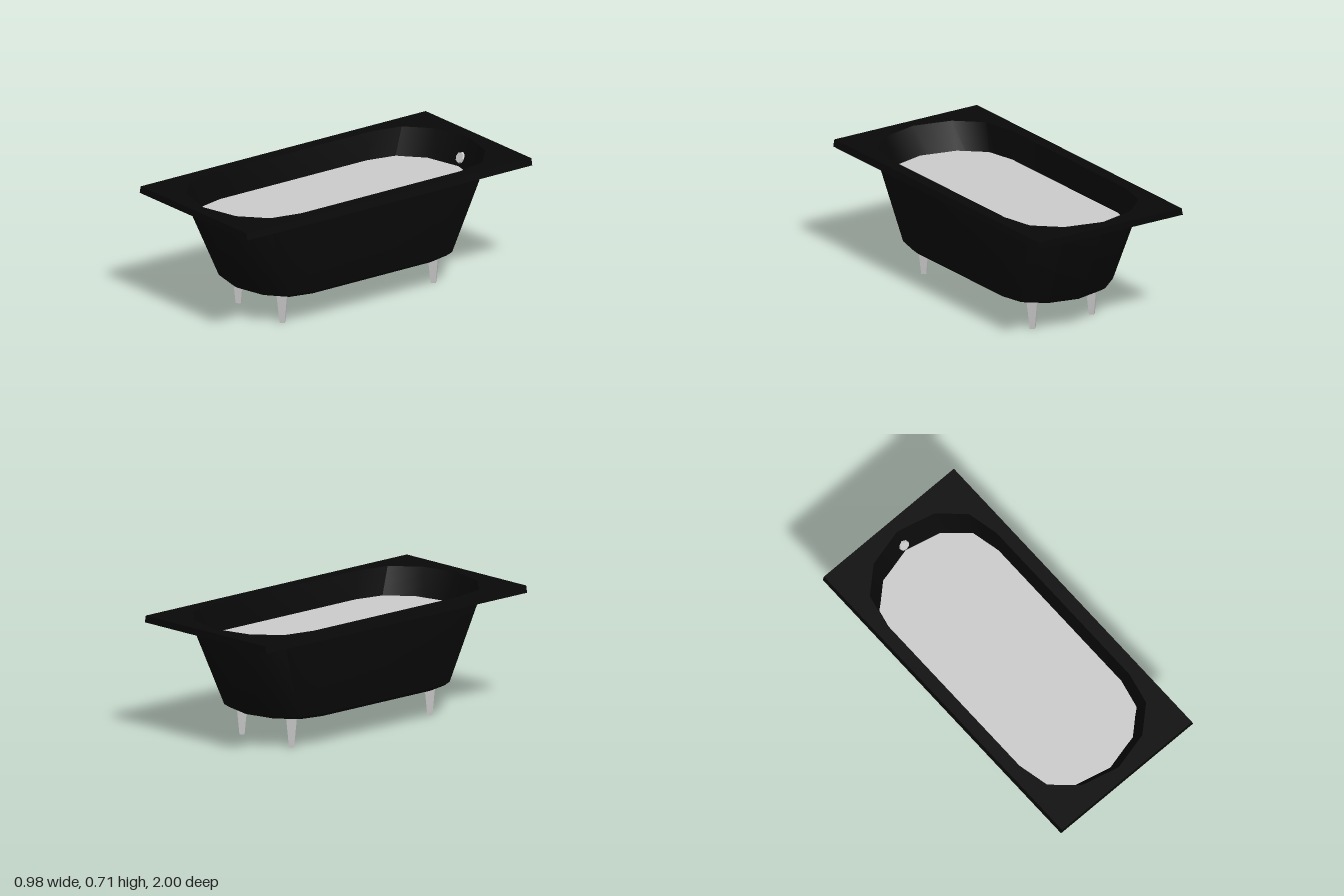
import * as THREE from 'three';
import { toCreasedNormals } from 'three/addons/utils/BufferGeometryUtils.js';

// Unit outline of the basin: straight long sides with faceted round ends
const QUARTER = [[1, 0.6], [0.9, 0.8], [0.55, 0.94], [0, 1]];
const half = [...QUARTER, ...QUARTER.slice(0, 3).reverse().map(([x, z]) => [-x, z])];
const OUTLINE = [...half, ...half.map(([x, z]) => [-x, -z])];

const outlinePoints = (hx, hz) => OUTLINE.map(([x, z]) => new THREE.Vector2(x * hx, z * hz));

// Joins scaled outlines, given as [half width, half length, height]
function loftOutlines(sections) {
  const n = OUTLINE.length;
  const positions = [];
  const index = [];
  for (const [hx, hz, y] of sections) {
    for (const [x, z] of OUTLINE) positions.push(x * hx, y, z * hz);
  }
  for (let j = 0; j < sections.length - 1; j++) {
    for (let i = 0; i < n; i++) {
      const a = j * n + i;
      const b = j * n + ((i + 1) % n);
      if (sections[j + 1][0] > 0) index.push(a, a + n, b + n);
      if (sections[j][0] > 0) index.push(a, b + n, b);
    }
  }
  const geometry = new THREE.BufferGeometry();
  geometry.setAttribute('position', new THREE.Float32BufferAttribute(positions, 3));
  geometry.setIndex(index);
  return toCreasedNormals(geometry, 0.6);
}

export function createModel() {
  const group = new THREE.Group();
  const black = new THREE.MeshStandardMaterial({ color: 0x080808 });
  const grey = new THREE.MeshStandardMaterial({ color: 0xcccccc });
  const greyFlat = new THREE.MeshStandardMaterial({ color: 0xcccccc, flatShading: true });

  const add = (name, geometry, material, parent = group) => {
    const mesh = new THREE.Mesh(geometry, material);
    mesh.name = name;
    parent.add(mesh);
    return mesh;
  };

  // Basin: outside from base to rim, then inside down to the floor
  add('basin', loftOutlines([
    [0, 0, 0.18],
    [0.325, 0.69, 0.18],
    [0.345, 0.72, 0.2],
    [0.415, 0.935, 0.67],
    [0.408, 0.93, 0.71],
    [0.34, 0.7, 0.21],
    [0, 0, 0.21],
  ]), black);

  // Rectangular rim with the basin opening, long sides sloping in at the top
  const rimShape = new THREE.Shape([
    new THREE.Vector2(-0.49, -1), new THREE.Vector2(0.49, -1),
    new THREE.Vector2(0.49, 1), new THREE.Vector2(-0.49, 1),
  ]);
  rimShape.holes.push(new THREE.Path(outlinePoints(0.408, 0.93)));
  const rimGeometry = new THREE.ExtrudeGeometry(rimShape, { depth: 0.04, bevelEnabled: false });
  rimGeometry.rotateX(-Math.PI / 2).translate(0, 0.67, 0);
  const p = rimGeometry.attributes.position;
  for (let i = 0; i < p.count; i++) {
    if (Math.abs(p.getX(i)) > 0.45 && p.getY(i) > 0.69) p.setX(i, Math.sign(p.getX(i)) * 0.482);
  }
  rimGeometry.computeVertexNormals();
  add('rim', rimGeometry, black);

  // Water surface
  const water = new THREE.ShapeGeometry(new THREE.Shape(outlinePoints(0.386, 0.859)));
  add('water', water.rotateX(-Math.PI / 2).translate(0, 0.555, 0), grey);

  // Overflow knob, lying on the sloping back wall
  const knob = add('overflowKnob', new THREE.CylinderGeometry(0.03, 0.038, 0.026, 8), greyFlat);
  knob.position.set(0, 0.6, -0.877);
  knob.rotation.x = 1.145;

  // Four tapered feet, each with a flared top plate
  for (const [end, z] of [['front', 0.53], ['back', -0.53]]) {
    for (const [side, x] of [['Left', 0.2], ['Right', -0.2]]) {
      const foot = new THREE.Group();
      foot.name = `${end}${side}Foot`;
      foot.position.set(x, 0, z);
      add('footShaft', new THREE.CylinderGeometry(0.042, 0.02, 0.168, 4).translate(0, 0.084, 0), greyFlat, foot);
      add('footPlate', new THREE.CylinderGeometry(0.051, 0.048, 0.02, 4).translate(0, 0.177, 0), greyFlat, foot);
      group.add(foot);
    }
  }
  return group;
}
